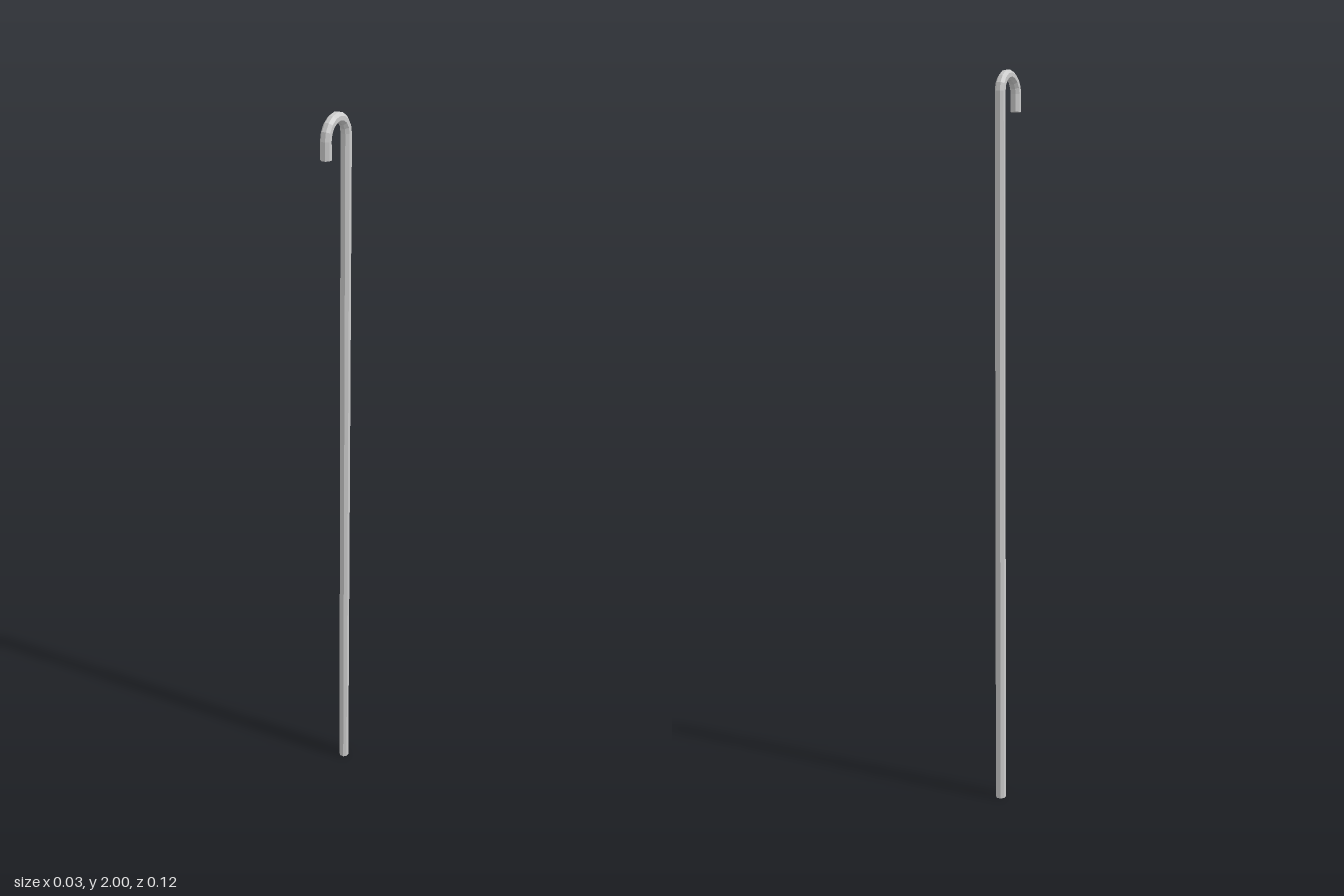
import * as THREE from 'three';

const SIDES = 8;          // sides of the rod
const HALF = 0.013;       // half thickness, flat to flat
const BEND = 0.046;       // centreline radius of the crook
const STEPS = 8;          // segments around the crook
const CENTRE_Y = 2 - BEND - HALF;
const TIP_Y = 1.895;

export function createModel() {
  const group = new THREE.Group();
  group.name = 'walkingCane';

  // Straight rod with one ring of vertices per path station, flats facing x and z
  const rows = STEPS + 2;
  const radius = HALF / Math.cos(Math.PI / SIDES);
  const geometry = new THREE.CylinderGeometry(radius, radius, rows, SIDES, rows, false, Math.PI / SIDES);
  geometry.translate(0, rows / 2, 0);

  // Bend it: first ring is the foot, the middle rings form the crook, the last is the tip
  const pos = geometry.attributes.position;
  for (let i = 0; i < pos.count; i++) {
    const row = Math.round(pos.getY(i));
    const angle = Math.PI * THREE.MathUtils.clamp((row - 1) / STEPS, 0, 1);
    const reach = BEND - pos.getZ(i);
    let y = CENTRE_Y + reach * Math.sin(angle);
    if (row === 0) y = 0;
    if (row === rows) y = TIP_Y;
    pos.setY(i, y);
    pos.setZ(i, -reach * Math.cos(angle));
  }
  geometry.computeVertexNormals();

  const material = new THREE.MeshStandardMaterial({ color: 0xcccccc, flatShading: true });
  const cane = new THREE.Mesh(geometry, material);
  cane.name = 'shaftAndCrook';
  group.add(cane);
  return group;
}
